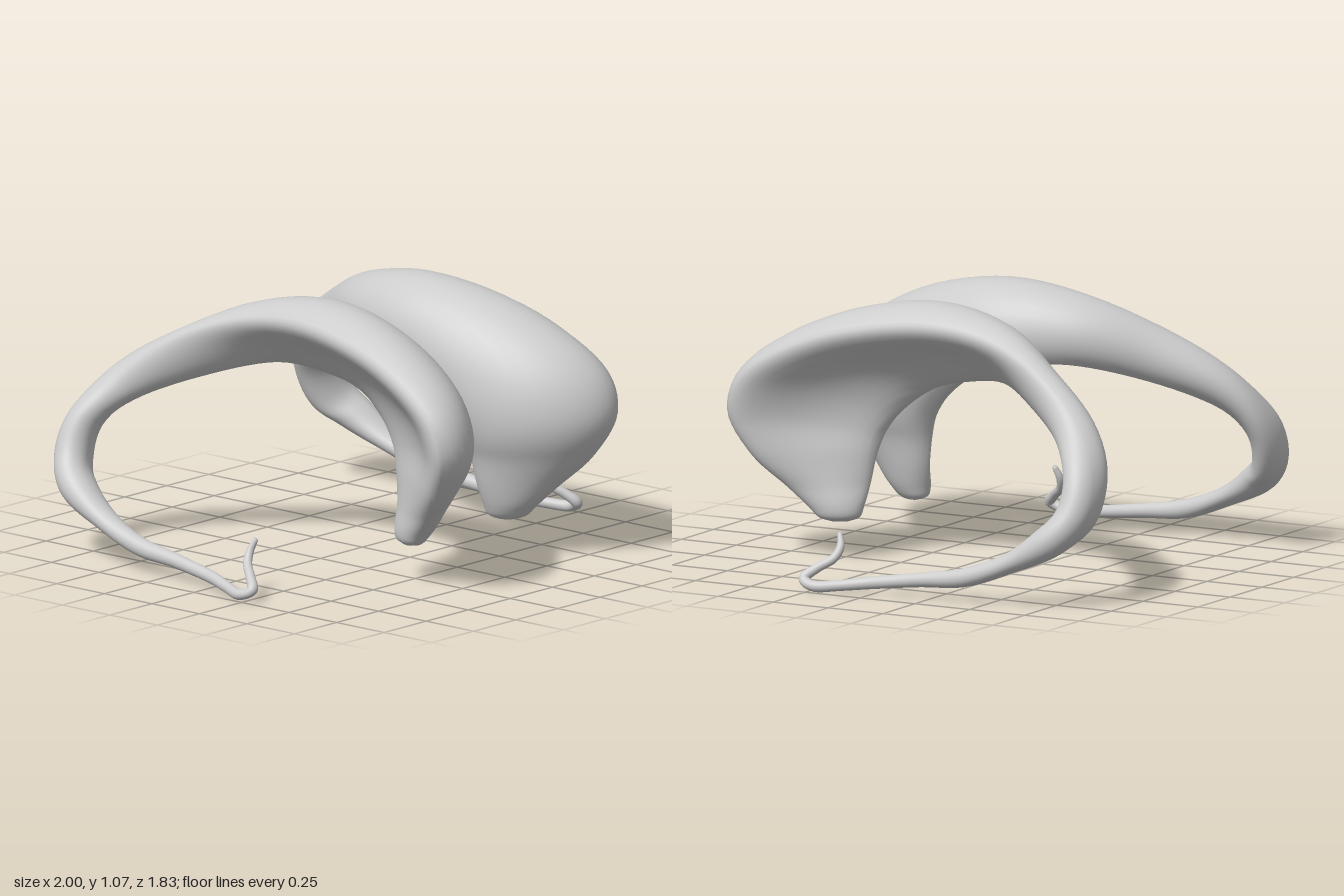
import * as THREE from 'three';

// Stations from the blade tip to the curl:
// rim x,y,z | inner edge x,y,z | bulge depth | depth on the hollow side
const BLADE = [
  [0.31, 0.15, 0.525, 0.28, 0.15, 0.475, 0.02, 0.02],
  [0.335, 0.167, 0.575, 0.255, 0.167, 0.435, 0.055, 0.045],
  [0.35, 0.21, 0.615, 0.245, 0.21, 0.42, 0.08, 0.055],
  [0.39, 0.29, 0.69, 0.22, 0.30, 0.405, 0.105, 0.05],
  [0.47, 0.42, 0.805, 0.20, 0.42, 0.385, 0.15, 0.035],
  [0.52, 0.60, 0.885, 0.175, 0.52, 0.35, 0.20, 0.02],
  [0.525, 0.78, 0.80, 0.15, 0.62, 0.27, 0.21, 0.025],
  [0.49, 0.935, 0.50, 0.13, 0.705, 0.15, 0.20, 0.035],
  [0.445, 1.01, 0.10, 0.14, 0.75, 0.0, 0.19, 0.04],
  [0.445, 0.98, -0.23, 0.21, 0.77, -0.23, 0.14, 0.045],
  [0.52, 0.88, -0.52, 0.38, 0.705, -0.46, 0.10, 0.055],
  [0.62, 0.73, -0.755, 0.535, 0.61, -0.675, 0.10, 0.07],
  [0.715, 0.55, -0.895, 0.68, 0.50, -0.775, 0.12, 0.08],
  [0.785, 0.37, -0.91, 0.765, 0.38, -0.775, 0.12, 0.075],
  [0.835, 0.225, -0.81, 0.83, 0.31, -0.71, 0.095, 0.07],
  [0.855, 0.13, -0.60, 0.855, 0.21, -0.58, 0.06, 0.05],
];

// Round stem and hook: centre x,y,z | radius
const STEM = [
  [0.87, 0.10, -0.40, 0.038],
  [0.875, 0.073, -0.20, 0.029],
  [0.90, 0.047, 0.0, 0.025],
  [0.94, 0.032, 0.12, 0.022],
  [0.978, 0.025, 0.22, 0.022],
  [0.965, 0.05, 0.275, 0.022],
  [0.93, 0.09, 0.235, 0.019],
  [0.89, 0.125, 0.185, 0.018],
  [0.86, 0.17, 0.17, 0.016],
  [0.84, 0.22, 0.185, 0.010],
];

const STEPS = 150;
const SIDES = 32;

// Rim, inner edge and depth curves, with the round stem carried on from the blade
function guideCurves() {
  const rim = [], inner = [], depth = [];
  for (const [a, b, c, d, e, f, p, q] of BLADE) {
    rim.push(new THREE.Vector3(a, b, c));
    inner.push(new THREE.Vector3(d, e, f));
    depth.push(new THREE.Vector3(p, q, 0));
  }
  const centres = STEM.map(([x, y, z]) => new THREE.Vector3(x, y, z));
  const across = new THREE.Vector3(0, -1, 0);
  centres.forEach((c, i) => {
    const t = centres[Math.min(i + 1, centres.length - 1)].clone()
      .sub(centres[Math.max(i - 1, 0)]).normalize();
    across.addScaledVector(t, -across.dot(t)).normalize();
    const r = STEM[i][3];
    rim.push(c.clone().addScaledVector(across, r));
    inner.push(c.clone().addScaledVector(across, -r));
    depth.push(new THREE.Vector3(r, r, 0));
  });
  // Uniform curves keep the three guides in step with each other
  return [rim, inner, depth].map((pts) => new THREE.CatmullRomCurve3(pts, false, 'catmullrom', 0.5));
}

// Loft spoon-shaped sections along the guides; side is +1 or -1
function hornGeometry(side) {
  const [rim, inner, depth] = guideCurves();
  const mid = (u) => rim.getPoint(u).add(inner.getPoint(u)).multiplyScalar(0.5);
  const positions = [], index = [];
  const tri = (a, b, c) => (side > 0 ? index.push(a, b, c) : index.push(a, c, b));

  for (let i = 0; i <= STEPS; i++) {
    const u = i / STEPS;
    const centre = mid(u);
    const half = rim.getPoint(u).sub(centre);
    // A wide tangent step keeps the sections turning evenly
    const t = mid(Math.min(u + 0.012, 1)).sub(mid(Math.max(u - 0.012, 0)));
    const bulge = half.clone().cross(t).normalize();
    const { x: p, y: q } = depth.getPoint(u);
    const lip = Math.max(0, 0.5 * p - q);
    for (let j = 0; j < SIDES; j++) {
      const a = (j / SIDES) * Math.PI * 2;
      const c = Math.cos(a), s = Math.sin(a);
      const v = s > 0 ? p * s : (q + lip * c * c) * s;
      const pt = centre.clone().addScaledVector(half, c).addScaledVector(bulge, v);
      positions.push(pt.x * side, pt.y, pt.z);
    }
  }
  for (let i = 0; i < STEPS; i++) {
    for (let j = 0; j < SIDES; j++) {
      const k = (j + 1) % SIDES;
      const a = i * SIDES + j, b = i * SIDES + k;
      tri(a, a + SIDES, b);
      tri(b, a + SIDES, b + SIDES);
    }
  }
  // Close both ends
  const first = positions.length / 3, last = first + 1;
  for (const u of [0, 1]) {
    const c = mid(u);
    positions.push(c.x * side, c.y, c.z);
  }
  for (let j = 0; j < SIDES; j++) {
    const k = (j + 1) % SIDES, base = STEPS * SIDES;
    tri(first, j, k);
    tri(last, base + k, base + j);
  }

  const geo = new THREE.BufferGeometry();
  geo.setAttribute('position', new THREE.Float32BufferAttribute(positions, 3));
  geo.setIndex(index);
  geo.computeVertexNormals();
  return geo;
}

export function createModel() {
  const group = new THREE.Group();
  group.name = 'curledHorns';
  const grey = new THREE.MeshStandardMaterial({ color: 0xcccccc });
  grey.name = 'grey';
  for (const [name, side] of [['leftHorn', 1], ['rightHorn', -1]]) {
    const horn = new THREE.Mesh(hornGeometry(side), grey);
    horn.name = name;
    group.add(horn);
  }
  return group;
}
